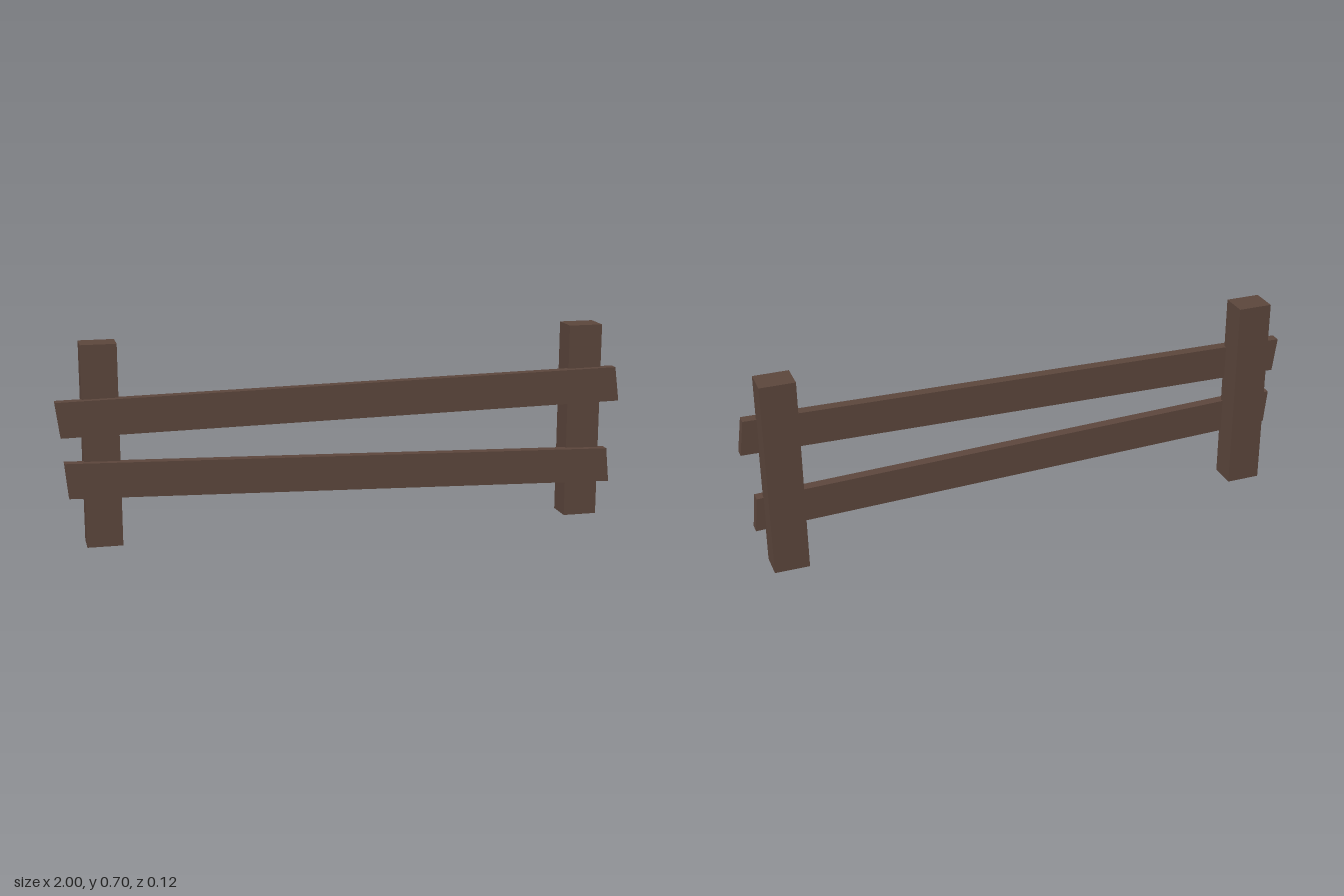
import * as THREE from 'three';

const wood = new THREE.MeshStandardMaterial({ color: 0x5d473d, flatShading: true });

// Upright square post standing on the ground
function makePost(name, x) {
  const post = new THREE.Mesh(new THREE.BoxGeometry(0.122, 0.7, 0.097), wood);
  post.name = name;
  post.position.set(x, 0.35, -0.012);
  return post;
}

// Slanted plank with skewed ends, let slightly into the front of the posts
function makeRail(name, corners) {
  const shape = new THREE.Shape(corners.map(([x, y]) => new THREE.Vector2(x, y)));
  const rail = new THREE.Mesh(
    new THREE.ExtrudeGeometry(shape, { depth: 0.037, bevelEnabled: false }), wood);
  rail.name = name;
  rail.position.z = 0.024;
  return rail;
}

export function createModel() {
  const fence = new THREE.Group();
  fence.name = 'fence';
  fence.add(
    makePost('rightPost', -0.848),
    makePost('leftPost', 0.876),
    makeRail('upperRail', [[-0.984, 0.392], [1, 0.424], [0.984, 0.547], [-1, 0.514]]),
    makeRail('lowerRail', [[-0.964, 0.182], [0.973, 0.126], [0.961, 0.249], [-0.976, 0.304]])
  );
  return fence;
}
